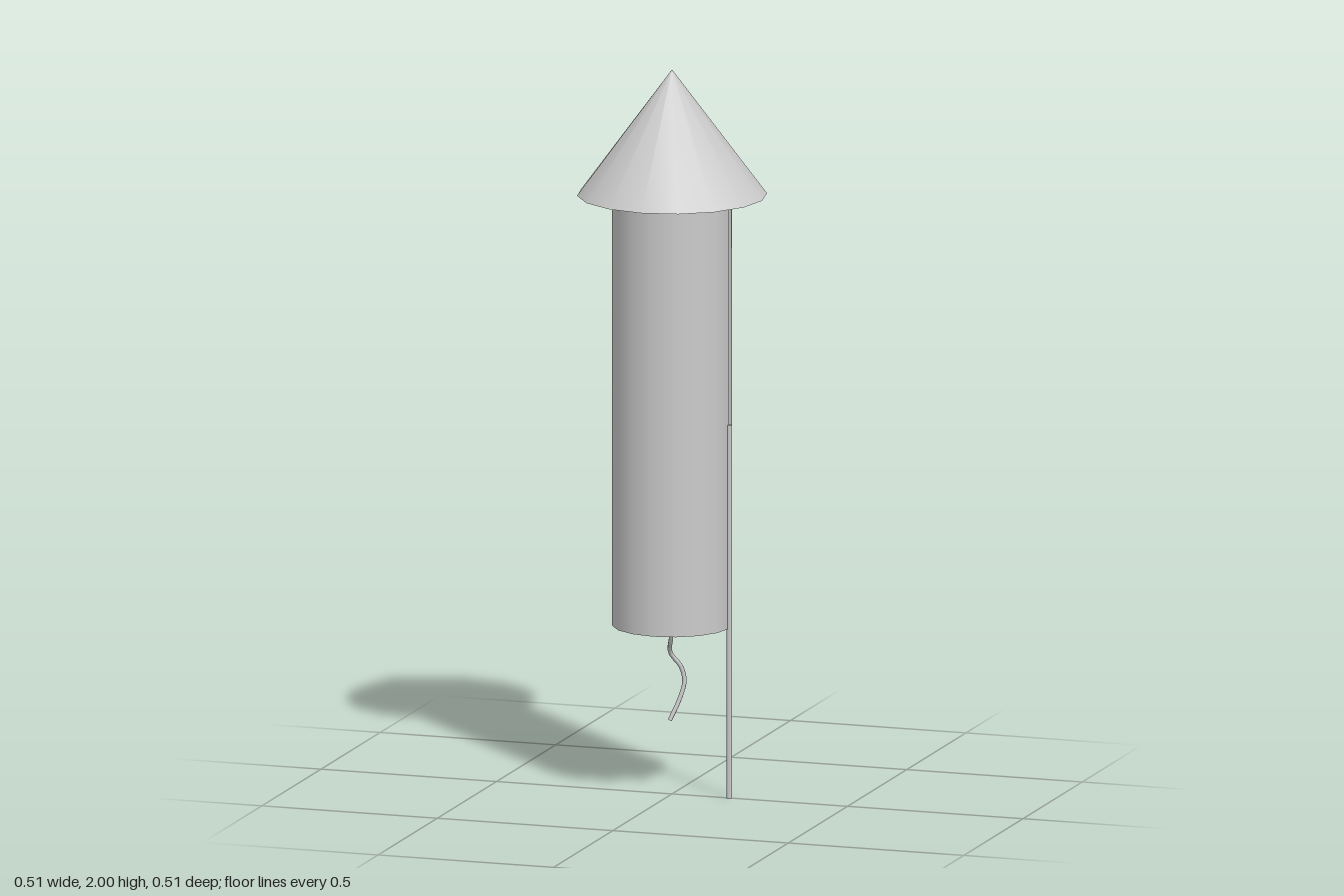
import * as THREE from 'three';

export function createModel() {
  const group = new THREE.Group();
  const material = new THREE.MeshStandardMaterial({ color: 0xcccccc });
  const openMaterial = new THREE.MeshStandardMaterial({ color: 0xcccccc, side: THREE.DoubleSide });

  const add = (name, geometry, mat = material) => {
    const mesh = new THREE.Mesh(geometry, mat);
    mesh.name = name;
    group.add(mesh);
    return mesh;
  };

  // Upright cylinder or cone spanning two heights
  const upright = (name, rTop, rBottom, y0, y1, sides, open, mat) => {
    const mesh = add(name, new THREE.CylinderGeometry(rTop, rBottom, y1 - y0, sides, 1, open), mat);
    mesh.position.y = (y0 + y1) / 2;
    return mesh;
  };

  // Tube body, running up until it meets the inside of the nose cone
  upright('body', 0.162, 0.162, 0.467, 1.78, 16, false);

  // Hollow nose cone with an overhanging rim
  upright('noseCone', 0, 0.257, 1.655, 2, 16, true, openMaterial);

  // Thin guide stick on the model's left side
  upright('stick', 0.008, 0.008, 0, 1.03, 8, false).position.x = 0.163;

  // Wavy fuse hanging from the base
  const fusePath = new THREE.CatmullRomCurve3([
    [0, 0.47, 0.005],
    [-0.006, 0.43, -0.01],
    [-0.019, 0.38, -0.043],
    [0.005, 0.34, -0.061],
    [0.014, 0.3, -0.064],
    [0.003, 0.25, -0.053],
    [-0.018, 0.195, -0.034],
  ].map((p) => new THREE.Vector3(...p)));
  add('fuse', new THREE.TubeGeometry(fusePath, 20, 0.006, 8));

  // Closed tip of the fuse
  const tip = add('fuseTip', new THREE.CircleGeometry(0.006, 8), openMaterial);
  tip.position.copy(fusePath.getPoint(1));
  tip.lookAt(tip.position.clone().add(fusePath.getTangent(1)));

  return group;
}
